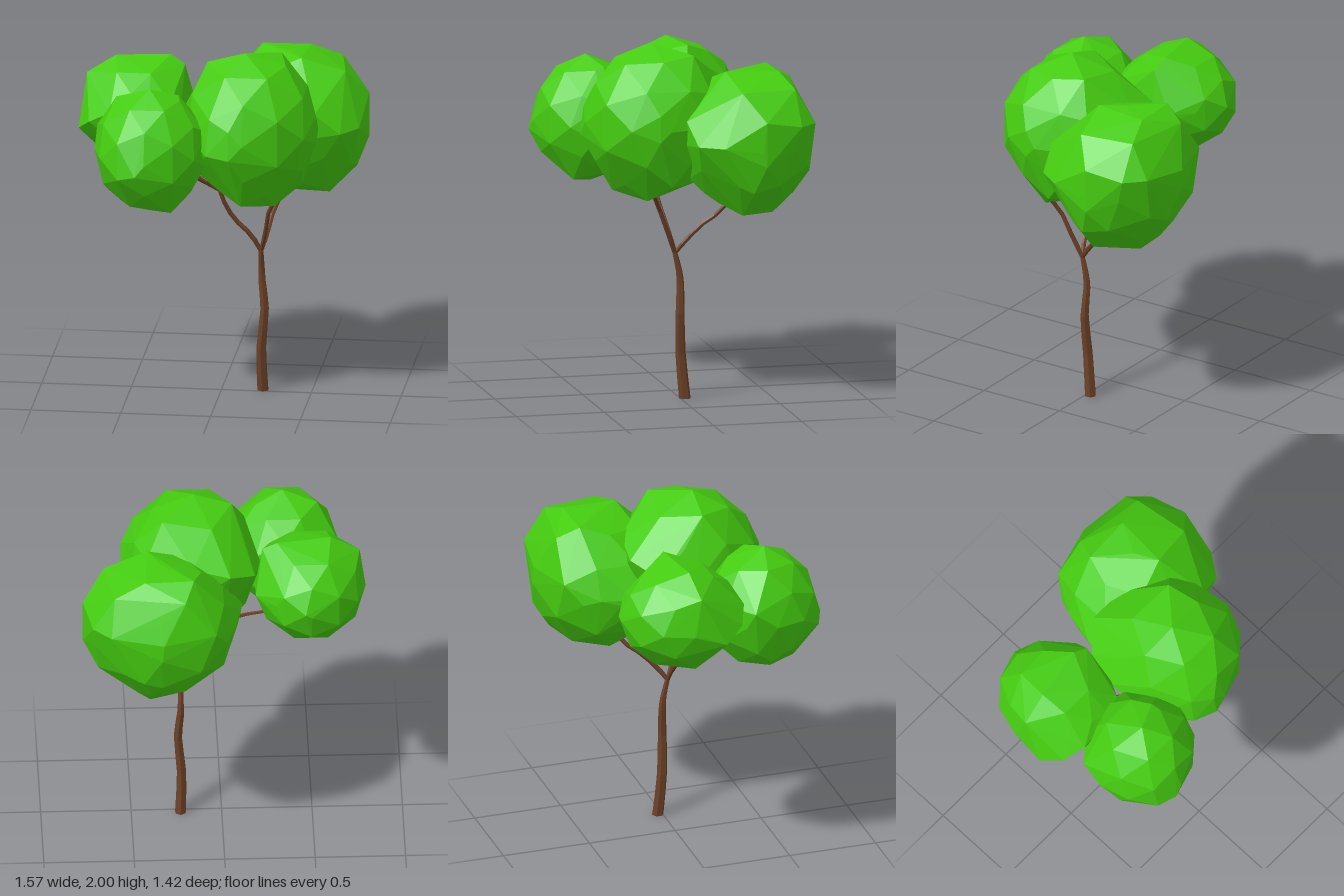
import * as THREE from 'three';
import { ConvexGeometry } from 'three/addons/geometries/ConvexGeometry.js';

const leafMat = new THREE.MeshStandardMaterial({ color: 0x45cc10, flatShading: true });
const barkMat = new THREE.MeshStandardMaterial({ color: 0x6b4027, flatShading: true });
const V = (a) => new THREE.Vector3(...a);

// A tapered, closed six-sided limb bent along a smooth path
function limb(name, points, r0, r1, steps) {
  const curve = new THREE.CatmullRomCurve3(points.map(V));
  const geo = new THREE.CylinderGeometry(r1, r0, 1, 6, steps);
  const pos = geo.attributes.position;
  const up = new THREE.Vector3(0, 1, 0);
  const q = new THREE.Quaternion();
  const v = new THREE.Vector3();
  for (let i = 0; i < pos.count; i++) {
    const u = THREE.MathUtils.clamp(pos.getY(i) + 0.5, 0, 1);
    q.setFromUnitVectors(up, u === 0 ? up : curve.getTangent(u));
    v.set(pos.getX(i), 0, pos.getZ(i)).applyQuaternion(q).add(curve.getPoint(u));
    pos.setXYZ(i, v.x, v.y, v.z);
  }
  geo.computeVertexNormals();
  const mesh = new THREE.Mesh(geo, barkMat);
  mesh.name = name;
  return mesh;
}

// A faceted clump: a squashed low-poly ball with some corners pulled out
function clump(name, center, radii, corners) {
  const pos = new THREE.IcosahedronGeometry(1, 1).attributes.position;
  const pts = corners.map(V);
  const seen = new Set();
  for (let i = 0; i < pos.count; i++) {
    const p = new THREE.Vector3().fromBufferAttribute(pos, i).multiply(V(radii)).add(V(center));
    const key = p.toArray().map((n) => n.toFixed(4)).join();
    if (!seen.has(key)) pts.push(p);
    seen.add(key);
  }
  const mesh = new THREE.Mesh(new ConvexGeometry(pts), leafMat);
  mesh.name = name;
  return mesh;
}

export function createModel() {
  const tree = new THREE.Group();
  tree.name = 'tree';

  // Trunk and branches
  const fork = [0.224, 0.82, 0.03];
  const leftFork = [0.005, 1.18, 0.1];
  tree.add(
    limb('trunk', [[0.228, 0, -0.025], [0.221, 0.25, -0.003], [0.241, 0.48, 0.005],
      [0.226, 0.64, 0], [0.225, 0.72, 0.007], fork], 0.033, 0.014, 10),
    limb('leftBranch', [fork, [0.17, 0.92, 0.05], [0.1, 0.99, 0.06], [0.04, 1.08, 0.08], leftFork], 0.014, 0.012, 6),
    limb('leftBackTwig', [leftFork, [-0.1, 1.245, 0.06], [-0.23, 1.31, 0]], 0.012, 0.009, 3),
    limb('leftFrontTwig', [leftFork, [-0.08, 1.25, 0.15], [-0.18, 1.32, 0.25]], 0.012, 0.009, 3),
    limb('frontBranch', [fork, [0.255, 0.95, 0.08], [0.285, 1.1, 0.14], [0.36, 1.22, 0.2]], 0.014, 0.011, 5),
    limb('backBranch', [fork, [0.25, 0.9, -0.03], [0.27, 0.99, -0.12], [0.3, 1.06, -0.21], [0.36, 1.2, -0.3]], 0.014, 0.011, 6),
  );

  // Foliage clumps
  tree.add(
    clump('frontFoliage', [0.175, 1.57, 0.13], [0.38, 0.42, 0.4], [
      [0.15, 2, 0.15], [0.33, 1.95, -0.05], [-0.06, 1.94, 0.14], [0.1, 1.49, 0.54], [0.1, 1.65, 0.52],
      [0.18, 1.82, 0.43], [0.55, 1.66, 0.19], [0.55, 1.51, 0.19], [0.46, 1.24, 0.1], [0.32, 1.14, 0.21],
      [0.15, 1.18, 0.37], [0.31, 1.5, 0.45], [0.45, 1.5, 0.33], [-0.03, 1.5, 0.49], [-0.15, 1.55, 0.2],
      [-0.22, 1.6, 0.04], [-0.18, 1.65, -0.15], [-0.04, 1.72, -0.275], [0.17, 1.77, -0.26], [0.42, 1.75, -0.13]]),
    clump('backFoliage', [0.35, 1.47, -0.34], [0.43, 0.4, 0.375], [
      [0.05, 1.58, -0.63], [0.34, 1.57, -0.71], [0.63, 1.6, -0.67], [0.73, 1.6, -0.57], [0.78, 1.64, -0.36],
      [0.78, 1.39, -0.36], [0.75, 1.5, -0.13], [0.66, 1.5, 0], [0.52, 1.62, 0.035], [0.5, 1.48, 0.035],
      [0.66, 1.79, -0.25], [0.44, 1.86, -0.51], [0.42, 1.87, -0.21], [0.17, 1.86, -0.5], [0.22, 1.79, -0.62],
      [0.61, 1.79, -0.56], [0.45, 1.3, -0.68], [0.4, 1.17, -0.6], [0.41, 1.065, -0.48], [0.57, 1.085, -0.27],
      [0.72, 1.235, -0.3], [0.42, 1.19, -0.09], [-0.1, 1.5, -0.25], [-0.11, 1.48, -0.17], [-0.055, 1.5, -0.45]]),
    clump('leftBackFoliage', [-0.485, 1.58, -0.14], [0.305, 0.3, 0.335], [
      [-0.76, 1.78, -0.1], [-0.6, 1.88, -0.12], [-0.3, 1.88, -0.17], [-0.65, 1.31, -0.1], [-0.79, 1.5, 0.04],
      [-0.79, 1.57, -0.15], [-0.45, 1.6, -0.48], [-0.61, 1.6, -0.42], [-0.73, 1.6, -0.26], [-0.29, 1.6, -0.38],
      [-0.18, 1.6, -0.27], [-0.18, 1.6, -0.17], [-0.22, 1.83, -0.15], [-0.22, 1.65, 0.04],
      [-0.6, 1.64, 0.2], [-0.72, 1.57, 0.15], [-0.38, 1.68, 0.18], [-0.27, 1.68, 0.13]]),
    clump('leftFrontFoliage', [-0.35, 1.49, 0.38], [0.31, 0.345, 0.32], [
      [-0.35, 1.85, 0.4], [-0.35, 1.81, 0.47], [-0.2, 1.8, 0.33], [-0.04, 1.61, 0.38], [-0.04, 1.42, 0.42],
      [-0.12, 1.27, 0.42], [-0.34, 1.14, 0.37], [-0.22, 1.17, 0.5], [-0.58, 1.25, 0.37], [-0.66, 1.59, 0.25],
      [-0.54, 1.79, 0.36], [-0.4, 1.43, 0.71], [-0.5, 1.4, 0.67], [-0.61, 1.5, 0.51], [-0.1, 1.5, 0.53],
      [-0.21, 1.5, 0.64], [-0.35, 1.66, 0.62]]),
  );
  return tree;
}
